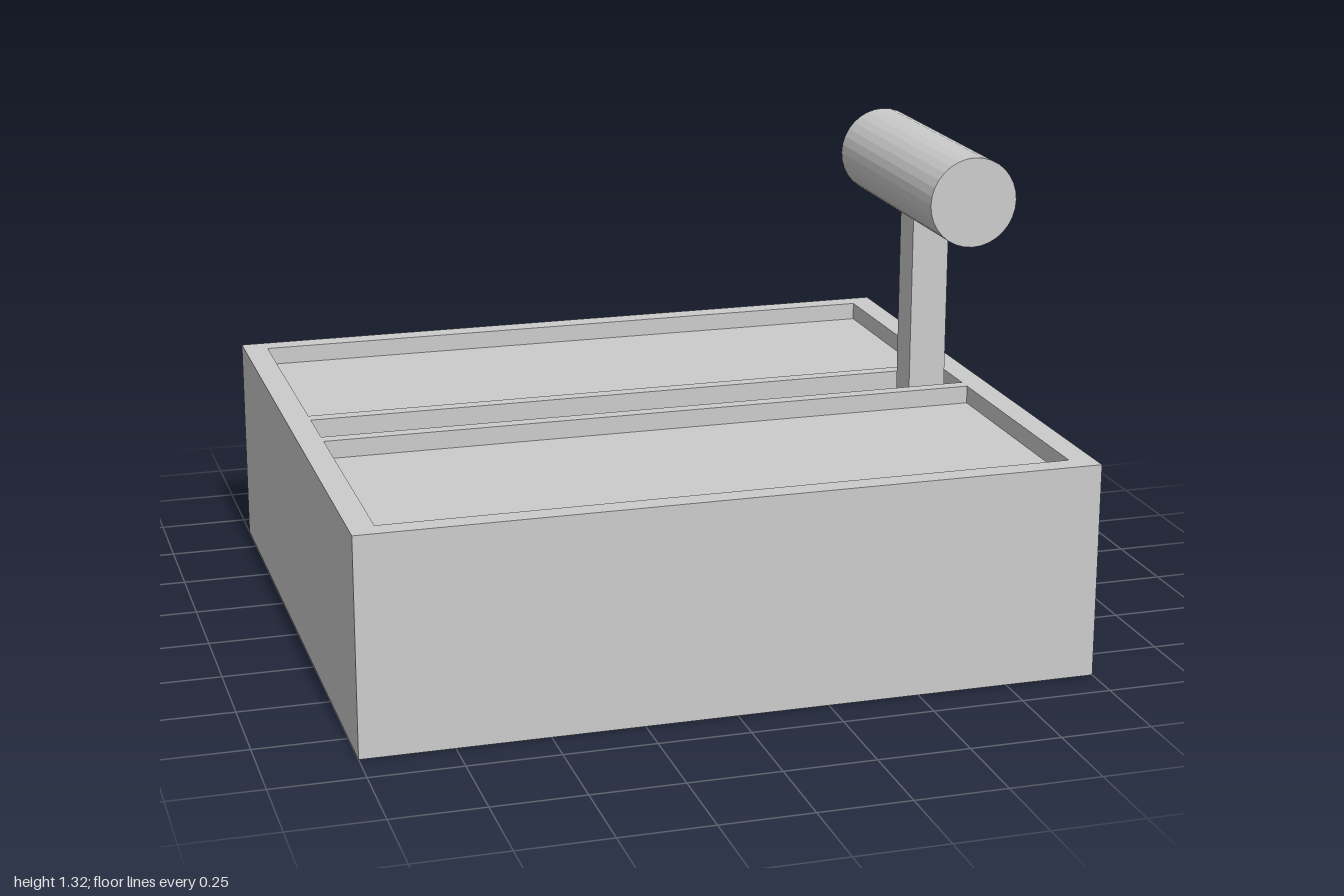
import * as THREE from 'three';
import { mergeGeometries } from 'three/addons/utils/BufferGeometryUtils.js';

const W = 2, H = 0.595, D = 1.775;

// Box without its top face, standing from y0 to y1; inward turns its faces to the inside
function openBox(x0, x1, y0, y1, z0, z1, inward) {
  const g = new THREE.BoxGeometry(x1 - x0, y1 - y0, z1 - z0);
  g.translate((x0 + x1) / 2, (y0 + y1) / 2, (z0 + z1) / 2);
  const index = Array.from(g.index.array);
  index.splice(12, 6);
  if (inward) index.reverse();
  g.setIndex(index);
  const out = g.toNonIndexed();
  out.computeVertexNormals();
  return out;
}

export function createModel() {
  const model = new THREE.Group();
  const material = new THREE.MeshStandardMaterial({ color: 0xcccccc, flatShading: true });
  const add = (name, geometry, x = 0, y = 0, z = 0) => {
    const mesh = new THREE.Mesh(geometry, material);
    mesh.name = name;
    mesh.position.set(x, y, z);
    model.add(mesh);
  };

  // Block with two shallow trays and a deeper slot between them
  const px = 0.932;
  const pockets = [
    { z0: -0.827, z1: -0.12, depth: 0.05 },
    { z0: -0.08, z1: 0.08, depth: 0.25 },
    { z0: 0.12, z1: 0.827, depth: 0.05 },
  ];
  const rect = (T, x, z0, z1) => new T([
    new THREE.Vector2(-x, z0), new THREE.Vector2(x, z0),
    new THREE.Vector2(x, z1), new THREE.Vector2(-x, z1),
  ]);
  const rim = rect(THREE.Shape, W / 2, -D / 2, D / 2);
  rim.holes = pockets.map(p => rect(THREE.Path, px, p.z0, p.z1));
  const rimGeometry = new THREE.ShapeGeometry(rim).toNonIndexed();
  rimGeometry.rotateX(-Math.PI / 2).translate(0, H, 0);
  add('base', mergeGeometries([
    openBox(-W / 2, W / 2, 0, H, -D / 2, D / 2, false),
    rimGeometry,
    ...pockets.map(p => openBox(-px, px, H - p.depth, H, p.z0, p.z1, true)),
  ]));

  // Square post rising from the slot floor into the roller
  const postX = 0.835, rollerY = 1.193, postBottom = H - 0.25;
  add('post', new THREE.BoxGeometry(0.107, rollerY - postBottom, 0.1),
    postX, (rollerY + postBottom) / 2, 0);

  // Horizontal cylinder on top of the post
  add('crossCylinder', new THREE.CylinderGeometry(0.125, 0.125, 0.712, 32).rotateX(Math.PI / 2),
    postX, rollerY, 0);

  return model;
}
